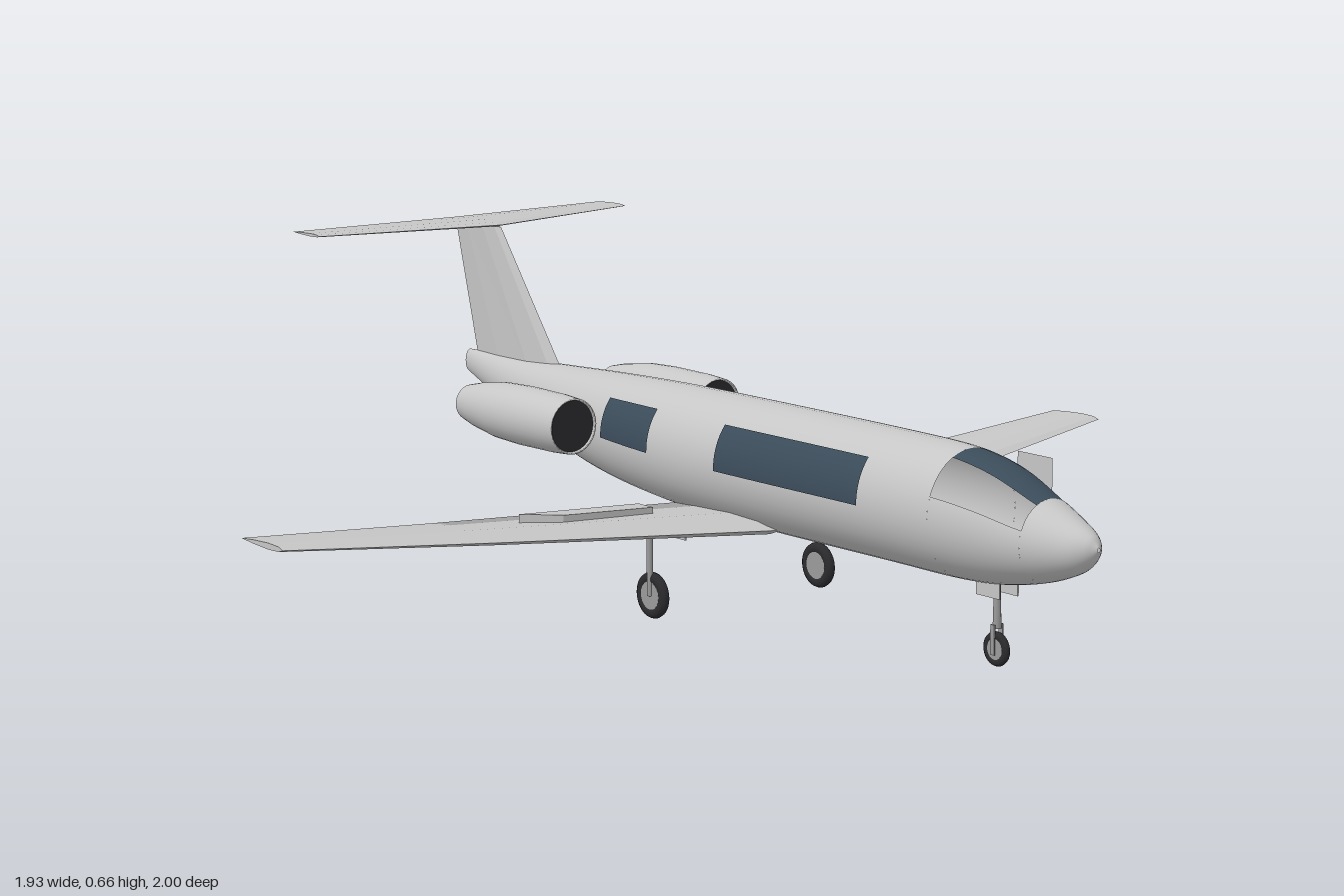
import * as THREE from 'three';

const mat = (name, color) => new THREE.MeshStandardMaterial({ name, color, side: THREE.DoubleSide });

// Fuselage stations: x, top y, bottom y, half width
const STATIONS = [
  [-0.9, 0.385, 0.338, 0.012], [-0.75, 0.388, 0.287, 0.04], [-0.6, 0.393, 0.245, 0.063],
  [-0.4, 0.402, 0.2, 0.09], [-0.2, 0.408, 0.176, 0.106], [0, 0.41, 0.168, 0.112],
  [0.5, 0.41, 0.168, 0.112], [0.64, 0.405, 0.168, 0.107], [0.74, 0.385, 0.175, 0.095],
  [0.84, 0.345, 0.195, 0.073], [0.92, 0.312, 0.225, 0.042], [0.95, 0.295, 0.25, 0.02],
  [0.962, 0.278, 0.27, 0.003],
];

// Smooth interpolation between stations
function station(x) {
  const S = STATIONS, last = S.length - 1;
  let i = 0;
  while (i < last - 1 && x > S[i + 1][0]) i++;
  const a = S[i], b = S[i + 1], h = b[0] - a[0], t = (x - a[0]) / h;
  const slope = (k, c) => {
    const p = S[Math.max(k - 1, 0)], q = S[Math.min(k + 1, last)];
    return (q[c] - p[c]) / (q[0] - p[0]);
  };
  return [1, 2, 3].map((c) =>
    a[c] * (1 + 2 * t) * (1 - t) ** 2 + b[c] * t * t * (3 - 2 * t) +
    h * (slope(i, c) * t * (1 - t) ** 2 - slope(i + 1, c) * t * t * (1 - t)));
}

// Point on the hull: angle 0 is the top, growing towards +z
function hullPoint(x, angle) {
  const [top, bottom, w] = station(x);
  return new THREE.Vector3(x, (top + bottom) / 2 + (top - bottom) / 2 * Math.cos(angle), w * Math.sin(angle));
}

// Curved patch of the hull, optionally raised
function hullPatch(x0, x1, a0, a1, nx, na, raise = 0) {
  const pos = [], nor = [], index = [];
  for (let i = 0; i <= nx; i++) for (let j = 0; j <= na; j++) {
    const x = x0 + (x1 - x0) * i / nx, a = a0 + (a1 - a0) * j / na, e = 0.001;
    const p = hullPoint(x, a);
    const dx = hullPoint(x + e, a).sub(hullPoint(x - e, a));
    const da = hullPoint(x, a + e).sub(hullPoint(x, a - e));
    const n = da.cross(dx).normalize();
    p.addScaledVector(n, raise);
    pos.push(p.x, p.y, p.z);
    nor.push(n.x, n.y, n.z);
    if (i < nx && j < na) {
      const k = i * (na + 1) + j, m = k + na + 1;
      index.push(k, k + 1, m, k + 1, m + 1, m);
    }
  }
  const g = new THREE.BufferGeometry();
  g.setAttribute('position', new THREE.Float32BufferAttribute(pos, 3));
  g.setAttribute('normal', new THREE.Float32BufferAttribute(nor, 3));
  g.setIndex(index);
  return g;
}

// Aerofoil outline: chord fraction, half-thickness fraction (trailing edge to trailing edge)
const FOIL = [[1, 0.05], [0.72, 0.6], [0.35, 1], [0.1, 0.75], [0, 0], [0.1, -0.75], [0.35, -1], [0.72, -0.6], [1, -0.05]];

// Lofted wing; sections are { lead: [x, y, z], chord, half }, thickness along axis t.
// Upper rear faces of the first flapSpans spans form a second material group.
function foilLoft(sections, t, flapSpans = 0) {
  const pos = [], main = [], flap = [], n = FOIL.length;
  sections.forEach(({ lead, chord, half }, s) => {
    FOIL.forEach(([c, h], j) => {
      const p = [lead[0] - c * chord, lead[1], lead[2]];
      p[t] += h * half;
      pos.push(...p);
      if (s < sections.length - 1 && j < n - 1) {
        const k = s * n + j, m = k + n;
        (s < flapSpans && j === 0 ? flap : main).push(k, k + 1, m, k + 1, m + 1, m);
      }
    });
  });
  // Tip caps
  for (const s of [0, sections.length - 1])
    for (let j = 1; j < n - 1; j++) main.push(s * n, s * n + j, s * n + j + 1);
  const g = new THREE.BufferGeometry();
  g.setAttribute('position', new THREE.Float32BufferAttribute(pos, 3));
  g.setIndex([...main, ...flap]);
  g.addGroup(0, main.length, 0);
  g.addGroup(main.length, flap.length, 1);
  const flat = g.toNonIndexed();
  flat.computeVertexNormals();
  return flat;
}

export function createModel() {
  const root = new THREE.Group();
  root.name = 'jet';
  const body = mat('bodyGrey', 0xc6c6c6);
  const control = mat('flapGrey', 0xa2a2a2);
  const glass = mat('windowBlue', 0x3b4c5a);
  const rubber = mat('tyreBlack', 0x2b2b2e);
  const metal = mat('gearGrey', 0x9a9a9a);

  const add = (name, geometry, material, x = 0, y = 0, z = 0) => {
    const m = new THREE.Mesh(geometry, material);
    m.name = name;
    m.position.set(x, y, z);
    root.add(m);
    return m;
  };
  const box = (name, w, h, d, m, x, y, z) => add(name, new THREE.BoxGeometry(w, h, d), m, x, y, z);

  // Fuselage with an open cockpit
  const TAU = Math.PI * 2, sill = 1.2;
  add('fuselage', hullPatch(-0.9, 0.64, 0, TAU, 48, 40), body);
  add('cockpitTub', hullPatch(0.64, 0.84, sill, TAU - sill, 10, 28), body);
  add('noseCone', hullPatch(0.84, 0.962, 0, TAU, 16, 40), body);
  add('windshield', hullPatch(0.64, 0.84, -0.45, 0.45, 10, 8), glass);
  const cap = add('tailCap', new THREE.CircleGeometry(1, 24), body, -0.9, 0.3615, 0);
  cap.scale.set(0.012, 0.0235, 1);
  cap.rotation.y = -Math.PI / 2;

  // Open door hanging on the right-hand side
  const door = add('cockpitDoor', new THREE.PlaneGeometry(0.09, 0.22), body.clone(), 0.68, 0.275, -0.116);
  door.material = body;
  door.geometry.rotateY(Math.PI);

  // Fin and tailplane
  add('fin', foilLoft([
    { lead: [-0.575, 0.375, 0], chord: 0.295, half: 0.013 },
    { lead: [-0.785, 0.652, 0], chord: 0.16, half: 0.008 },
  ], 2), [body, control]);
  add('tailplane', foilLoft([
    { lead: [-0.87, 0.656, -0.385], chord: 0.095, half: 0.003 },
    { lead: [-0.785, 0.656, 0], chord: 0.165, half: 0.006 },
    { lead: [-0.87, 0.656, 0.385], chord: 0.095, half: 0.003 },
  ], 1), [body, control]);

  const wheel = (name, x, y, z, r, w) => {
    const tyre = new THREE.TorusGeometry(r * 0.74, r * 0.26, 10, 28);
    tyre.scale(1, 1, w / (r * 0.52));
    add(name + 'Tyre', tyre, rubber, x, y, z);
    add(name + 'Hub', new THREE.CylinderGeometry(r * 0.6, r * 0.6, w * 0.8, 20).rotateX(Math.PI / 2), metal, x, y, z);
  };

  for (const s of [1, -1]) {
    const side = s > 0 ? 'front' : 'back';

    // Cabin windows
    for (const [x0, x1] of [[0.05, 0.46], [-0.32, -0.16]]) {
      const a = s > 0 ? [0.84, 1.59] : [-1.59, -0.84];
      add(side + 'CabinWindow', hullPatch(x0, x1, ...a, 12, 8, 0.003), glass);
    }

    // Main wing with flaps and upper blister
    add(side + 'Wing', foilLoft([
      { lead: [0.172, 0.184, 0.05 * s], chord: 0.325, half: 0.017 },
      { lead: [0.04, 0.214, 0.6 * s], chord: 0.215, half: 0.011 },
      { lead: [-0.055, 0.239, s], chord: 0.135, half: 0.006 },
    ], 1, 1), [body, control]);
    const blister = new THREE.Shape();
    blister.moveTo(-0.07, 0.2);
    blister.lineTo(-0.025, 0.2);
    blister.lineTo(-0.025, 0.41);
    blister.lineTo(-0.068, 0.48);
    const bump = new THREE.ExtrudeGeometry(blister, { depth: 0.016, bevelEnabled: false });
    bump.rotateX(Math.PI / 2);
    if (s < 0) bump.rotateX(Math.PI).translate(0, -0.016, 0);
    const blisterMesh = add(side + 'WingBlister', bump, body, 0, 0.207, 0);
    blisterMesh.rotation.x = -0.06 * s;
    blisterMesh.position.y = 0.204;

    // Engine nacelle, intake, exhaust and pylon
    const profile = [[0.036, -0.645], [0.046, -0.6], [0.056, -0.53], [0.059, -0.45], [0.058, -0.35],
      [0.055, -0.3], [0.051, -0.302], [0.049, -0.32]].map(([r, x]) => new THREE.Vector2(r, x));
    add(side + 'Nacelle', new THREE.LatheGeometry(profile, 32).rotateZ(-Math.PI / 2), body, 0, 0.328, 0.18 * s);
    add(side + 'Intake', new THREE.CircleGeometry(0.052, 32).rotateY(Math.PI / 2), rubber, -0.305, 0.328, 0.18 * s);
    add(side + 'Exhaust', new THREE.CircleGeometry(0.037, 32).rotateY(-Math.PI / 2), rubber, -0.64, 0.328, 0.18 * s);
    box(side + 'Pylon', 0.15, 0.018, 0.09, body, -0.475, 0.328, 0.095 * s);

    // Main landing gear
    wheel(side + 'Main', -0.02, 0.048, 0.205 * s, 0.045, 0.02);
    add(side + 'MainStrut', new THREE.CylinderGeometry(0.006, 0.006, 0.15, 12), metal, -0.02, 0.123, 0.212 * s);
    box(side + 'GearDoor', 0.075, 0.03, 0.003, body, -0.02, 0.168, 0.155 * s);
    box(side + 'NoseGearDoor', 0.06, 0.03, 0.003, body, 0.71, 0.165, 0.022 * s);
    box(side + 'NoseFork', 0.01, 0.055, 0.003, metal, 0.71, 0.07, 0.01 * s);
  }

  // Nose landing gear
  wheel('nose', 0.71, 0.052, 0, 0.032, 0.014);
  add('noseStrut', new THREE.CylinderGeometry(0.006, 0.008, 0.1, 12), metal, 0.71, 0.14, 0);
  return root;
}
